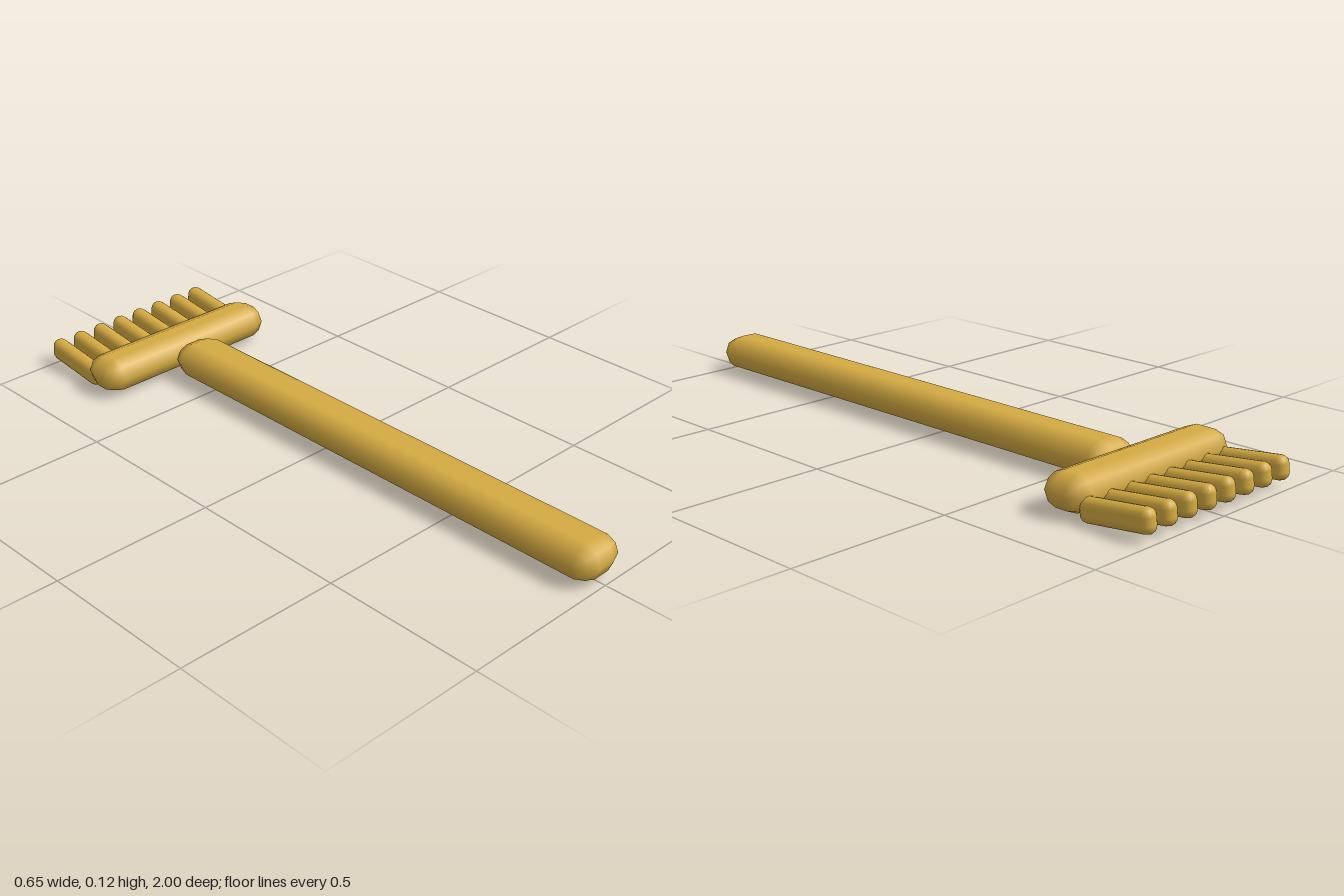
import * as THREE from 'three';
import { RoundedBoxGeometry } from 'three/addons/geometries/RoundedBoxGeometry.js';

export function createModel() {
  const model = new THREE.Group();
  model.name = 'rake';

  const ochre = new THREE.MeshStandardMaterial({ color: 0xd4aa42 });
  ochre.name = 'ochre';

  // Adds one softly bevelled bar, given its size and centre
  function addBar(name, size, segments, radius, centre) {
    const mesh = new THREE.Mesh(new RoundedBoxGeometry(...size, segments, radius), ochre);
    mesh.name = name;
    mesh.position.set(...centre);
    model.add(mesh);
    return mesh;
  }

  // Long handle reaching into the head
  addBar('handle', [0.164, 0.11, 1.662], 1, 0.0545, [0, 0.066, 0.169]);

  // Crosswise head
  addBar('head', [0.648, 0.11, 0.148], 1, 0.0545, [0, 0.066, -0.723]);

  // Row of eight teeth, tips tilted slightly upward
  for (let i = 0; i < 8; i++) {
    const tooth = addBar('tooth' + (i + 1), [0.049, 0.071, 0.232], 2, 0.0242,
      [(i - 3.5) * 0.08, 0.048, -0.883]);
    tooth.rotation.x = 0.115;
  }

  return model;
}
